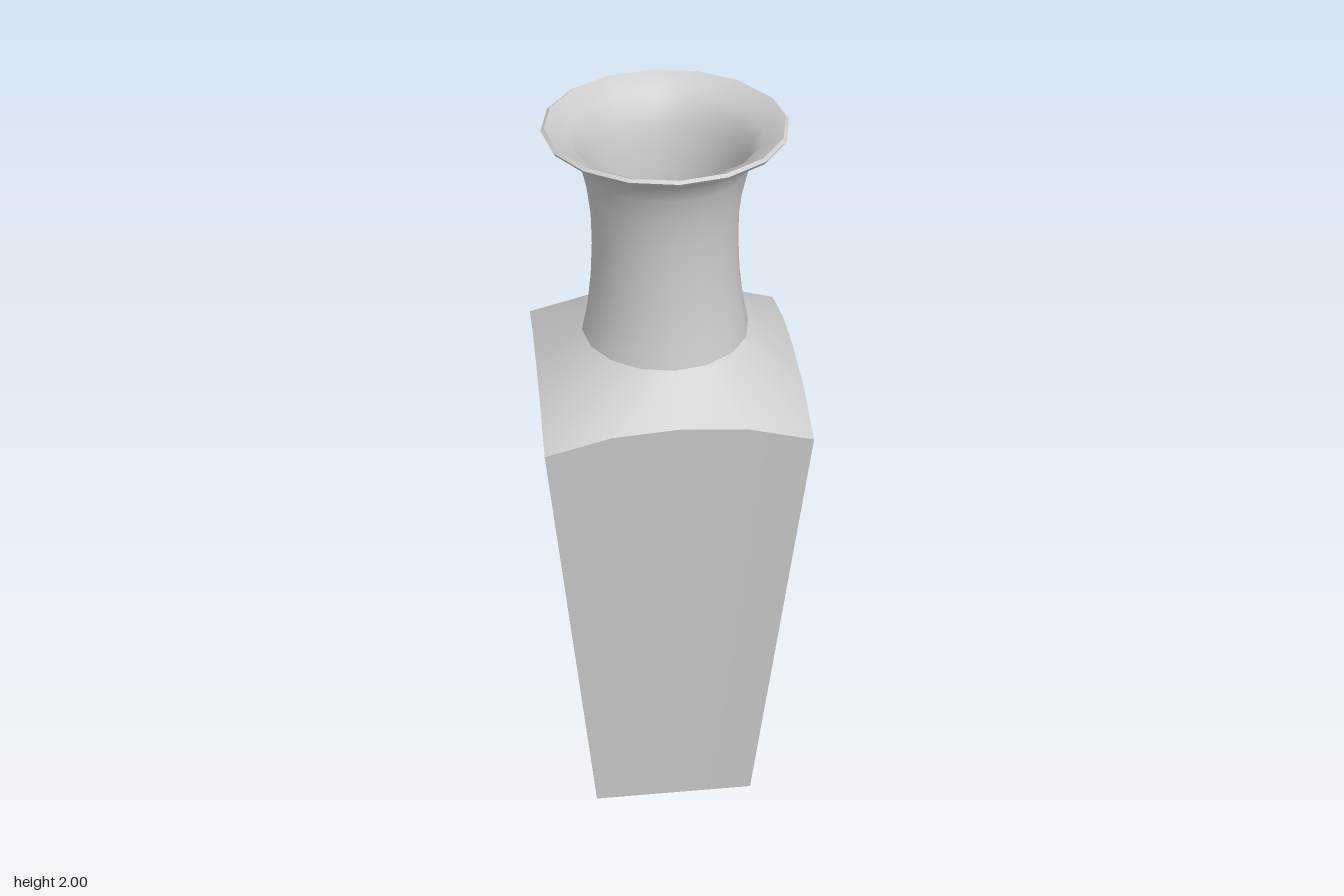
import * as THREE from 'three';
import { toCreasedNormals } from 'three/addons/utils/BufferGeometryUtils.js';

const SIDES = 16;

// Round cross-section
function circle(r, y) {
  return Array.from({ length: SIDES }, (_, i) => {
    const a = (i / SIDES) * Math.PI * 2;
    return new THREE.Vector3(r * Math.cos(a), y, r * Math.sin(a));
  });
}

// Square cross-section, evenly spaced; heights run from mid-side to corner
function square(h, yMid, yQuarter = yMid, yCorner = yMid) {
  const heights = [yMid, yQuarter, yCorner, yQuarter];
  const tri = (i) => {
    const t = ((i % SIDES) + SIDES) % SIDES;
    return Math.max(-1, Math.min(1, 2 - Math.abs(t - 8) / 2 - 0)) ;
  };
  return Array.from({ length: SIDES }, (_, i) => {
    // clamped triangle waves trace the square's outline
    const x = -tri(i), z = -tri(i - 4 + SIDES);
    return new THREE.Vector3(h * wave(i), heights[i % 4], h * wave(i - 4));
  });
}

// 1 around i = 0, -1 around i = 8, linear between the corners
function wave(i) {
  const t = (i + SIDES) % SIDES;
  return Math.max(-1, Math.min(1, Math.abs(t - 8) / 2 - 2));
}

// Skin a stack of cross-sections; a zero-size ring closes an end
function loft(name, rings, material) {
  const pos = [];
  const add = (a, b, c) => {
    const n = b.clone().sub(a).cross(c.clone().sub(a));
    if (n.lengthSq() > 1e-14) for (const p of [a, b, c]) pos.push(p.x, p.y, p.z);
  };
  for (let k = 0; k < rings.length - 1; k++) {
    const lo = rings[k], hi = rings[k + 1];
    for (let i = 0; i < SIDES; i++) {
      const j = (i + 1) % SIDES;
      add(lo[i], hi[i], lo[j]);
      add(hi[i], hi[j], lo[j]);
    }
  }
  const g = new THREE.BufferGeometry();
  g.setAttribute('position', new THREE.Float32BufferAttribute(pos, 3));
  const mesh = new THREE.Mesh(toCreasedNormals(g, THREE.MathUtils.degToRad(38)), material);
  mesh.name = name;
  return mesh;
}

export function createModel() {
  const group = new THREE.Group();
  group.name = 'vase';
  const material = new THREE.MeshStandardMaterial({ color: 0xcccccc, side: THREE.DoubleSide });

  // Tapered square body with its base and arched shoulder
  group.add(loft('body', [
    circle(0, 0),
    square(0.22, 0),
    square(0.326, 1.355, 1.343, 1.3),
    circle(0.208, 1.445),
  ], material));

  // Flared neck, over the lip and down the inside of the throat
  const neck = [
    [0.208, 1.445], [0.193, 1.52], [0.183, 1.6], [0.178, 1.69], [0.179, 1.77],
    [0.187, 1.84], [0.2, 1.9], [0.217, 1.937], [0.238, 1.96], [0.284, 1.985],
    [0.29, 1.994], [0.282, 2], [0.229, 1.971], [0.205, 1.942], [0.188, 1.9],
    [0.174, 1.84], [0.165, 1.77], [0.162, 1.69], [0.168, 1.6], [0.178, 1.52], [0.19, 1.445],
  ];
  group.add(loft('neck', neck.map(([r, y]) => circle(r, y)), material));

  // Hollow inside down to the floor
  group.add(loft('interior', [
    circle(0.19, 1.445),
    square(0.31, 1.34, 1.328, 1.285),
    square(0.206, 0.02),
    circle(0, 0.02),
  ], material));

  return group;
}
